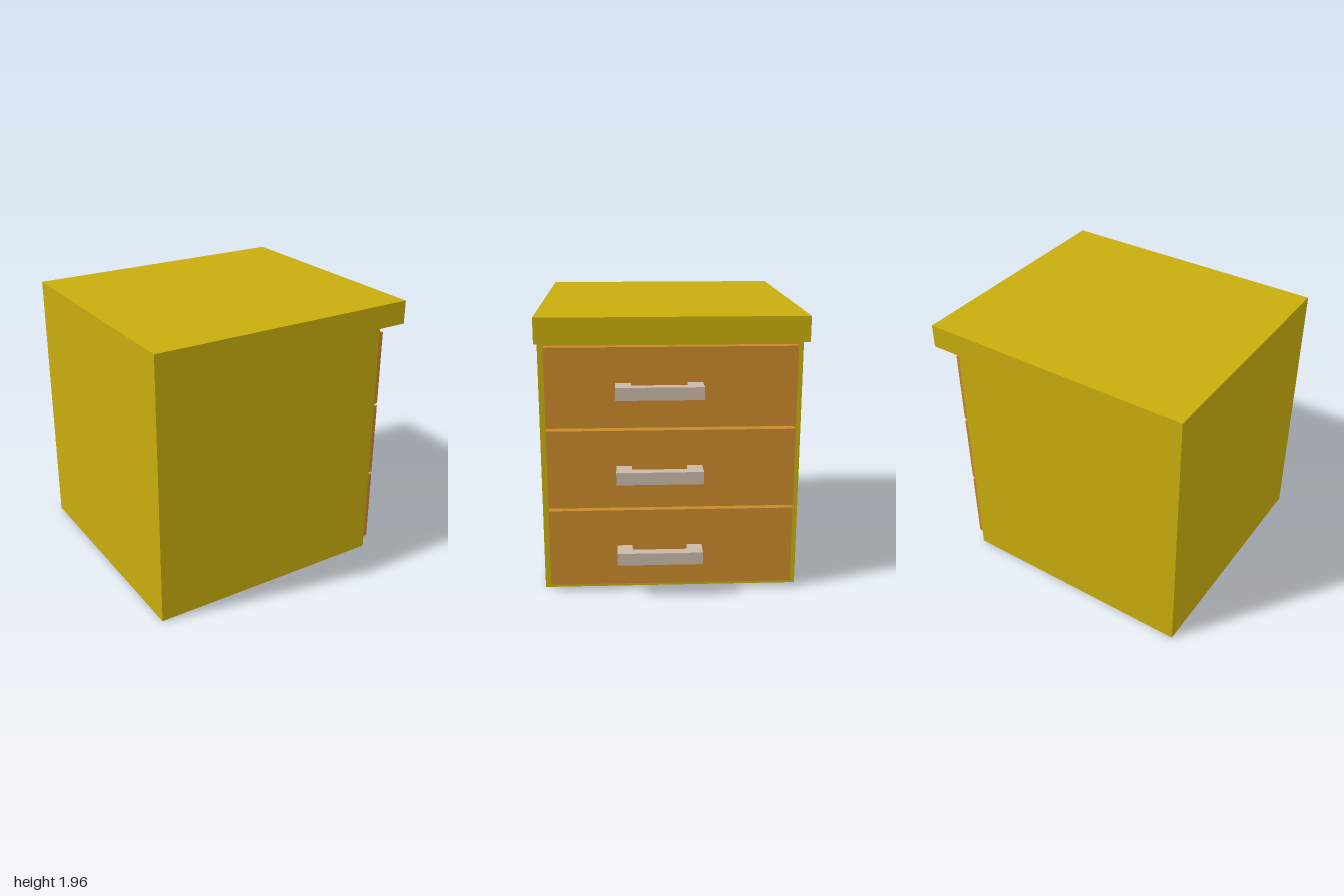
import * as THREE from 'three';

const paint = (color) => new THREE.MeshStandardMaterial({ color });

// Extrude a closed outline by depth, starting at z = 0
function extrude(points, depth) {
  const shape = new THREE.Shape(points.map(([x, y]) => new THREE.Vector2(x, y)));
  return new THREE.ExtrudeGeometry(shape, { depth, bevelEnabled: false });
}

export function createModel() {
  const group = new THREE.Group();
  const bodyPaint = paint(0xc8ad0d);
  const drawerPaint = paint(0xc9892b);
  const handlePaint = paint(0xc9b8a8);

  const add = (name, geometry, material) => {
    const mesh = new THREE.Mesh(geometry, material);
    mesh.name = name;
    group.add(mesh);
    return mesh;
  };

  // Cabinet body with its overhanging top, one side profile
  const body = extrude([
    [-1, 0], [0.78, 0], [0.78, 1.79], [1, 1.79], [1, 1.96], [-1, 1.96],
  ], 1.78);
  body.translate(0, 0, -0.89);
  add('cabinetBody', body, bodyPaint);

  // U-shaped handle: outline in depth (x) and width, laid flat
  const handle = extrude([
    [0.85, -0.375], [1, -0.375], [1, 0.21], [0.85, 0.21],
    [0.85, 0.105], [0.93, 0.105], [0.93, -0.27], [0.85, -0.27],
  ], 0.086);
  handle.translate(0, 0, -0.043);
  handle.rotateX(-Math.PI / 2);

  // Three drawer fronts, each with a handle
  const front = new THREE.BoxGeometry(0.07, 0.55, 1.69);
  for (let i = 0; i < 3; i++) {
    add('drawerFront' + (i + 1), front, drawerPaint).position.set(0.815, 0.325 + i * 0.57, 0);
    add('drawerHandle' + (i + 1), handle, handlePaint).position.y = 0.297 + i * 0.58;
  }
  return group;
}
